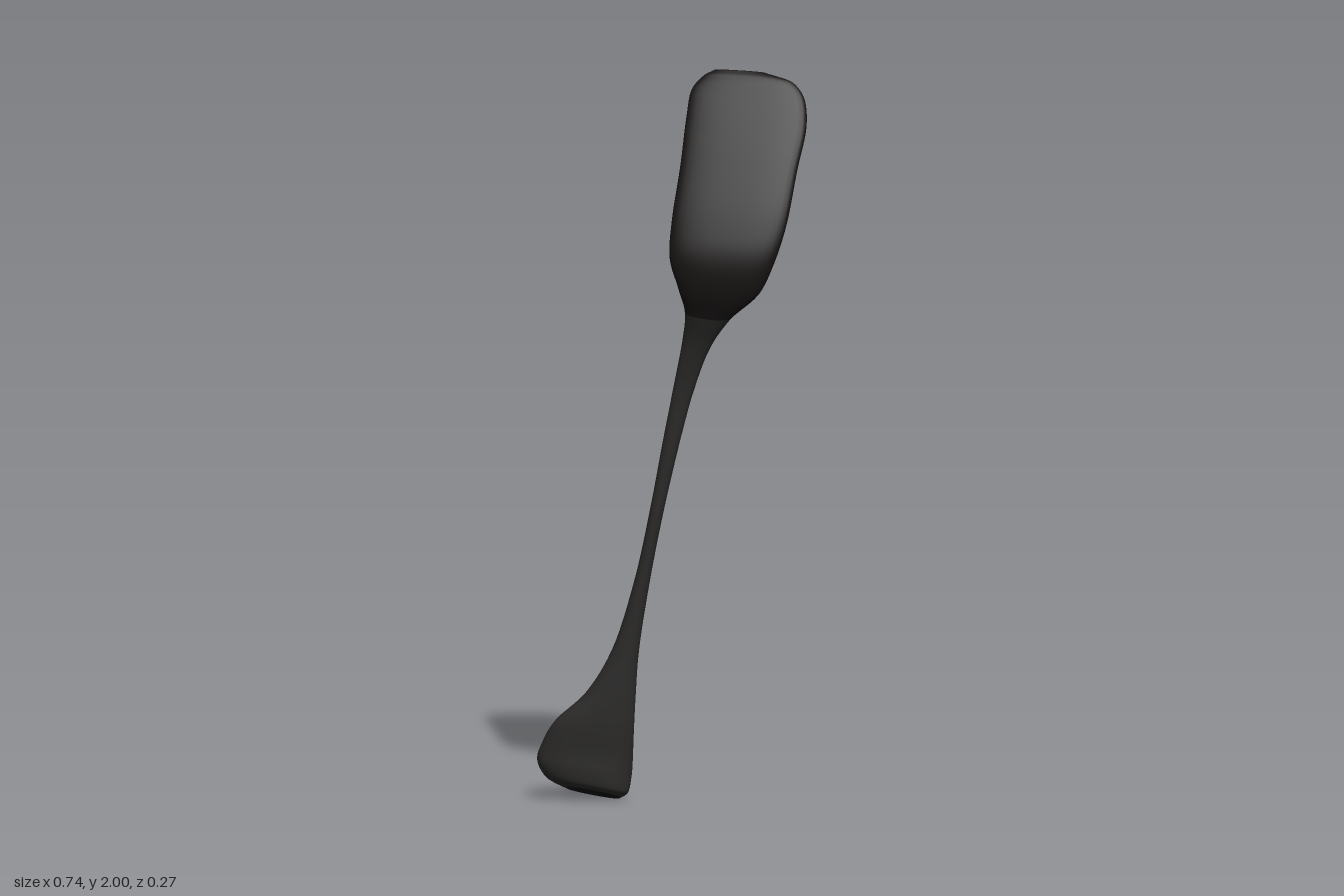
import * as THREE from 'three';

const RING = 32; // points around each cross-section
const STEPS = 6; // rings between two listed sections

// Sections from handle end to blade tip:
// right edge x, y, left edge x, y, middle z, thickness
const SECTIONS = [
  [-0.29, 0.03, -0.145, 0.004, -0.068, 0.066],
  [-0.345, 0.057, -0.122, 0.018, -0.073, 0.1],
  [-0.37, 0.105, -0.112, 0.07, -0.077, 0.118],
  [-0.355, 0.155, -0.108, 0.13, -0.066, 0.1],
  [-0.32, 0.215, -0.104, 0.2, -0.05, 0.076],
  [-0.235, 0.295, -0.099, 0.29, -0.046, 0.072],
  [-0.165, 0.41, -0.09, 0.41, -0.042, 0.066],
  [-0.103, 0.6, -0.06, 0.6, -0.03, 0.06],
  [-0.058, 0.8, -0.02, 0.8, -0.014, 0.055],
  [-0.02, 1.0, 0.027, 1.0, 0.0, 0.05],
  [0.012, 1.16, 0.066, 1.14, 0.013, 0.047],
  [0.036, 1.28, 0.113, 1.26, 0.038, 0.05],
  [0.045, 1.36, 0.172, 1.345, 0.071, 0.056],
  [0.028, 1.43, 0.25, 1.415, 0.096, 0.066],
  [0.006, 1.51, 0.291, 1.5, 0.102, 0.064],
  [0.01, 1.61, 0.322, 1.6, 0.079, 0.052],
  [0.028, 1.75, 0.346, 1.74, 0.023, 0.044],
  [0.04, 1.88, 0.367, 1.86, -0.038, 0.042],
  [0.05, 1.945, 0.357, 1.928, -0.072, 0.038],
  [0.076, 1.978, 0.325, 1.967, -0.09, 0.032],
  [0.11, 1.997, 0.25, 1.99, -0.101, 0.018],
];

// Smooth curve through three neighbouring columns of the table
const track = (a) => new THREE.CatmullRomCurve3(
  SECTIONS.map((s) => new THREE.Vector3(s[a], s[a + 1], s[a + 2])), false, 'centripetal');
const edges = track(0);
const depths = track(3);

// Smoothly interpolated section at position u (measured in sections)
function sectionAt(u) {
  const t = THREE.MathUtils.clamp(u / (SECTIONS.length - 1), 0, 1);
  const a = edges.getPoint(t), b = depths.getPoint(t);
  const right = new THREE.Vector3(a.x, a.y, b.y);
  const left = new THREE.Vector3(a.z, b.x, b.y);
  return {
    centre: left.clone().add(right).multiplyScalar(0.5),
    half: left.clone().sub(right).multiplyScalar(0.5),
    thick: b.z,
  };
}

const softPow = (v, p) => Math.sign(v) * Math.pow(Math.abs(v), p);

// All vertices of the lofted body, plus one centre point per end
function buildVertices() {
  const rings = (SECTIONS.length - 1) * STEPS + 1;
  const pos = [], ends = [];
  for (let i = 0; i < rings; i++) {
    const u = i / STEPS;
    const { centre, half, thick } = sectionAt(u);
    const along = sectionAt(u + 0.5).centre.sub(sectionAt(u - 0.5).centre);
    const normal = half.clone().cross(along).normalize();
    for (let j = 0; j < RING; j++) {
      const a = (j / RING) * Math.PI * 2;
      const p = centre.clone()
        .addScaledVector(half, softPow(Math.cos(a), 0.85))
        .addScaledVector(normal, softPow(Math.sin(a), 0.75) * thick / 2);
      pos.push(p.x, p.y, p.z);
    }
    if (i === 0 || i === rings - 1) ends.push(...centre.toArray());
  }
  return { pos: pos.concat(ends), rings };
}

export function createModel() {
  const group = new THREE.Group();
  group.name = 'spatula';
  const { pos, rings } = buildVertices();
  const bladeStart = 12 * STEPS, patchStart = 1.5 * STEPS, patchEnd = 4 * STEPS;
  const faces = { handleFront: [], handleBack: [], gripPatch: [], blade: [] };

  // Sort the skin's faces into parts
  for (let i = 0; i < rings - 1; i++) {
    for (let j = 0; j < RING; j++) {
      const k = (j + 1) % RING;
      const a = i * RING + j, b = i * RING + k, c = a + RING, d = b + RING;
      const inPatch = i >= patchStart && i < patchEnd && j >= RING * 0.66 && j < RING * 0.84;
      const part = i >= bladeStart ? 'blade'
        : j < RING / 2 ? 'handleFront'
        : inPatch ? 'gripPatch' : 'handleBack';
      faces[part].push(a, c, b, b, c, d);
    }
  }
  // Close both ends
  const last = (rings - 1) * RING;
  for (let j = 0; j < RING; j++) {
    const k = (j + 1) % RING;
    faces.handleBack.push(rings * RING, j, k);
    faces.blade.push(rings * RING + 1, last + k, last + j);
  }

  // One set of smooth normals keeps the seams between parts invisible
  const body = new THREE.BufferGeometry();
  body.setAttribute('position', new THREE.Float32BufferAttribute(pos, 3));
  body.setIndex(Object.values(faces).flat());
  body.computeVertexNormals();

  const colors = { handleFront: 0x2c2b2a, handleBack: 0x14110f, gripPatch: 0x3a220e, blade: 0x171413 };
  for (const [name, index] of Object.entries(faces)) {
    const geometry = new THREE.BufferGeometry();
    geometry.setAttribute('position', body.getAttribute('position'));
    geometry.setAttribute('normal', body.getAttribute('normal'));
    geometry.setIndex(index);
    const mesh = new THREE.Mesh(geometry, new THREE.MeshStandardMaterial({ color: colors[name] }));
    mesh.name = name;
    group.add(mesh);
  }
  return group;
}
